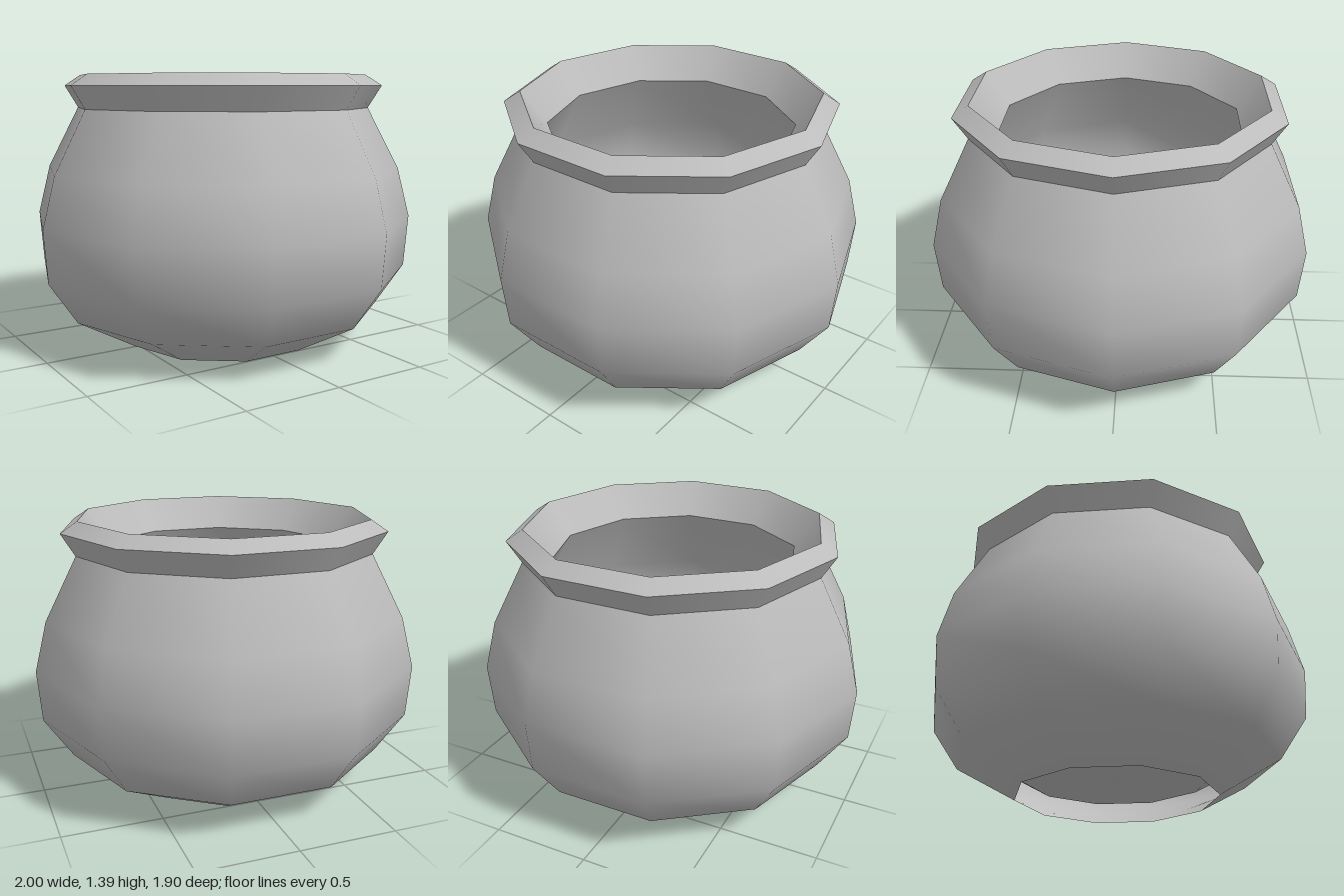
import * as THREE from 'three';

// Ten-sided turned pot with a flared rim and an inner shell of even thickness.
const SIDES = 10;

export function createModel() {
  const pot = new THREE.Group();
  pot.name = 'pot';
  const clay = new THREE.MeshStandardMaterial({ color: 0xbcbcbc, side: THREE.DoubleSide });
  clay.name = 'grey clay';

  // Revolves a profile of [radius, height] pairs, with corners on the x axis
  const turn = (name, profile) => {
    const points = profile.map(([r, y]) => new THREE.Vector2(r, y));
    const geometry = new THREE.LatheGeometry(points, SIDES, Math.PI / 2);
    const mesh = new THREE.Mesh(geometry, clay);
    mesh.name = name;
    pot.add(mesh);
  };

  // Rounded outer wall, open underneath
  turn('outerBody', [[0.52, 0], [0.835, 0.175], [0.98, 0.39], [1, 0.655], [0.935, 0.91], [0.77, 1.225]]);

  // Rim in three bands with sharp edges between them
  const rim = [[0.77, 1.225], [0.84, 1.34], [0.755, 1.395], [0.63, 1.225]];
  ['rimFlare', 'rimBevel', 'rimInside'].forEach((name, i) => turn(name, [rim[i], rim[i + 1]]));

  // Inner bowl, running from the neck down to the raised floor
  turn('innerBowl', [[0.63, 1.225], [0.835, 0.87], [0.89, 0.645], [0.875, 0.425], [0.76, 0.25], [0.49, 0.1], [0, 0.1]]);

  return pot;
}
